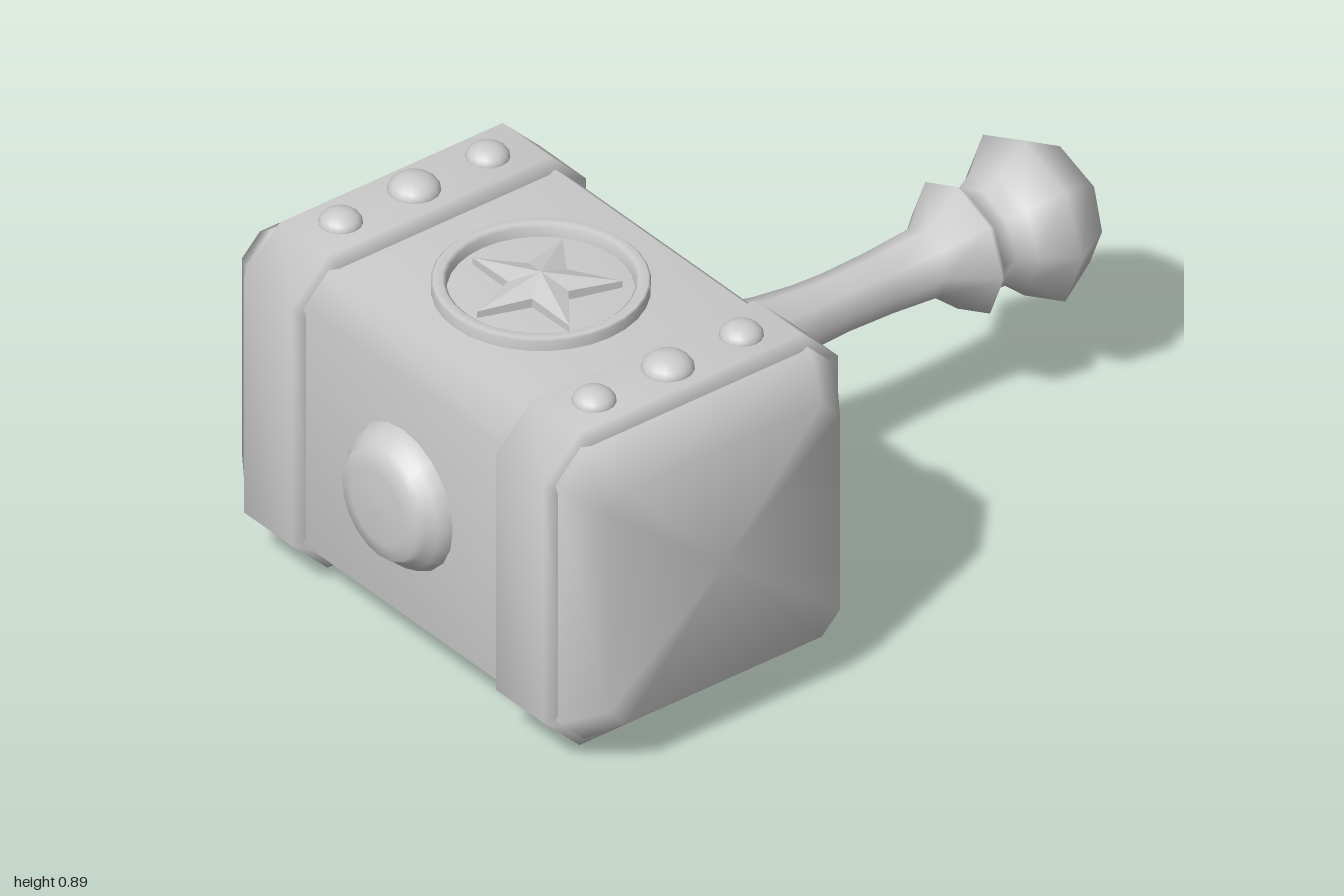
import * as THREE from 'three';

const CY = 0.45, CZ = 0.54; // centre of the hammer head

const material = new THREE.MeshStandardMaterial({ color: 0xcccccc });

function add(parent, name, geometry, x = 0, y = 0, z = 0) {
  const mesh = new THREE.Mesh(geometry, material);
  mesh.name = name;
  mesh.position.set(x, y, z);
  parent.add(mesh);
  return mesh;
}

// Chamfered square sections [x, halfHeight, halfDepth, chamfer] joined along +x
function loftX(sections) {
  const pos = [], index = [], n = 8;
  for (const [x, h, d, c] of sections) {
    const ring = [[h, -d + c], [h, d - c], [h - c, d], [-h + c, d], [-h, d - c], [-h, -d + c], [-h + c, -d], [h - c, -d]];
    for (const [y, z] of ring) pos.push(x, y, z);
  }
  const last = sections.length - 1;
  pos.push(sections[0][0], 0, 0, sections[last][0], 0, 0);
  const startCentre = (last + 1) * n, endCentre = startCentre + 1;
  for (let j = 0; j < n; j++) {
    const k = (j + 1) % n;
    for (let i = 0; i < last; i++) {
      const a = i * n + j, b = a + n, c = (i + 1) * n + k, d = i * n + k;
      index.push(a, d, c, a, c, b);
    }
    index.push(startCentre, k, j, endCentre, last * n + j, last * n + k);
  }
  const g = new THREE.BufferGeometry();
  g.setAttribute('position', new THREE.Float32BufferAttribute(pos, 3));
  g.setIndex(index);
  g.computeVertexNormals();
  return g;
}

function lathe(points, sides) {
  return new THREE.LatheGeometry(points.map(([r, y]) => new THREE.Vector2(r, y)), sides);
}

// Faceted five-pointed star: raised centre, sloping arms and short walls
function starGeometry(outer, inner, base, rim, peak) {
  const pos = [];
  const corner = (i, y) => {
    const a = i * Math.PI / 5, r = i % 2 ? inner : outer;
    return [r * Math.sin(a), y, r * Math.cos(a)];
  };
  for (let i = 0; i < 10; i++) {
    const a = corner(i, i % 2 ? rim + 0.006 : rim), b = corner(i + 1, i % 2 ? rim : rim + 0.006);
    const a0 = corner(i, base), b0 = corner(i + 1, base);
    pos.push(0, peak, 0, ...a, ...b, ...a, ...a0, ...b0, ...a, ...b0, ...b);
  }
  const g = new THREE.BufferGeometry();
  g.setAttribute('position', new THREE.Float32BufferAttribute(pos, 3));
  g.computeVertexNormals();
  return g;
}

export function createModel() {
  const model = new THREE.Group();
  model.name = 'hammer';

  // Head block with tapered striking ends
  const head = new THREE.Group();
  head.name = 'head';
  head.position.set(0, CY, CZ);
  model.add(head);
  add(head, 'block', loftX([
    [-0.643, 0.306, 0.32, 0.05], [-0.547, 0.38, 0.385, 0.07],
    [0.547, 0.38, 0.385, 0.07], [0.643, 0.306, 0.32, 0.05],
  ]));

  // Raised bands around both ends
  for (const side of [-1, 1]) {
    add(head, side > 0 ? 'leftBand' : 'rightBand', loftX([
      [-0.107, 0.375, 0.38, 0.09], [-0.083, 0.41, 0.41, 0.1],
      [0.083, 0.41, 0.41, 0.1], [0.107, 0.375, 0.38, 0.09],
    ]), side * 0.44);
  }

  // Rivets and star medallion, repeated on the top and the underside
  for (const name of ['topDetails', 'bottomDetails']) {
    const details = new THREE.Group();
    details.name = name;
    if (name === 'bottomDetails') details.rotation.z = Math.PI;
    head.add(details);

    for (const x of [-0.443, 0.443]) {
      for (const z of [-0.205, 0, 0.205]) {
        const r = z === 0 ? 0.06 : 0.05;
        const dome = new THREE.SphereGeometry(r, 16, 6, 0, Math.PI * 2, 0, Math.PI / 2);
        dome.scale(1, z === 0 ? 0.64 : 0.66, 1);
        add(details, 'rivet', dome, x, 0.408, z);
      }
    }
    add(details, 'medallionRing', lathe(
      [[0.24, 0.375], [0.24, 0.405], [0.235, 0.41], [0.215, 0.41], [0.207, 0.403], [0.205, 0.375]], 32));
    add(details, 'star', starGeometry(0.178, 0.072, 0.375, 0.397, 0.427));
  }

  // Round boss on the front
  const boss = lathe([[0.175, 0.9], [0.175, 0.93], [0.16, 0.955], [0.14, 0.972], [0.13, 0.99], [0.09, 0.997], [0, 1]], 20);
  boss.rotateX(Math.PI / 2);
  add(model, 'frontBoss', boss, 0, CY, 0);

  // Handle with collars and pointed pommel, running to the back
  const handle = lathe([
    [0.095, -0.17], [0.095, -0.115], [0.14, -0.065], [0.102, 0.005], [0.084, 0.1],
    [0.073, 0.2], [0.07, 0.28], [0.073, 0.4], [0.082, 0.53], [0.16, 0.62],
    [0.117, 0.655], [0.118, 0.69], [0.14, 0.735], [0.203, 0.805], [0.147, 0.905], [0, 1],
  ], 8);
  handle.rotateX(-Math.PI / 2);
  add(model, 'handle', handle, 0, CY, 0);

  return model;
}
